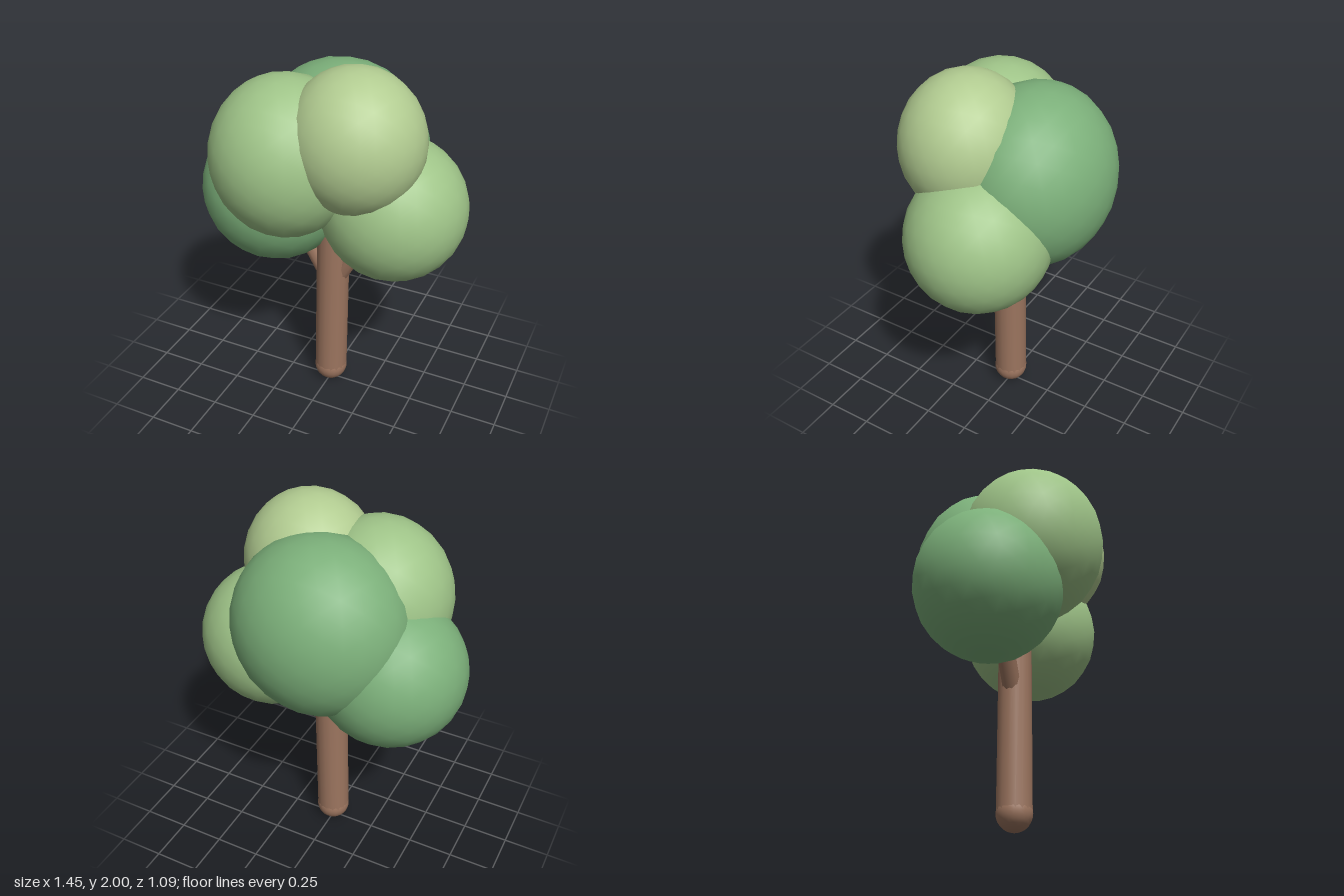
import * as THREE from 'three';

const UP = new THREE.Vector3(0, 1, 0);

export function createModel() {
  const tree = new THREE.Group();
  tree.name = 'tree';
  const material = (color) => new THREE.MeshStandardMaterial({ color });
  const bark = material(0x9c755f);
  const darkLeaf = material(0x7cb07a);
  const midLeaf = material(0x9fc488);
  const paleLeaf = material(0xb2cc91);

  function add(name, geometry, mat) {
    const mesh = new THREE.Mesh(geometry, mat);
    mesh.name = name;
    tree.add(mesh);
    return mesh;
  }

  // Straight round limb between two points
  function limb(name, from, to, r0, r1, sides) {
    const a = new THREE.Vector3(...from);
    const b = new THREE.Vector3(...to);
    const dir = b.clone().sub(a);
    const mesh = add(name, new THREE.CylinderGeometry(r1, r0, dir.length(), sides), bark);
    mesh.position.copy(a).add(b).multiplyScalar(0.5);
    mesh.quaternion.setFromUnitVectors(UP, dir.normalize());
  }

  // Stretched smooth ball of leaves
  function foliage(name, centre, radii, mat) {
    const mesh = add(name, new THREE.IcosahedronGeometry(1, 4), mat);
    mesh.position.set(...centre);
    mesh.scale.set(...radii);
  }

  // Trunk with a rounded foot, leaning very slightly
  limb('trunk', [0.002, 0.1, 0], [0.02, 1.25, 0], 0.091, 0.088, 16);
  add('trunkFoot', new THREE.SphereGeometry(0.093, 20, 14), bark).position.set(0.002, 0.095, 0);

  // Forking branches
  limb('rightBranch', [-0.01, 0.71, 0], [-0.25, 1.14, 0], 0.05, 0.05, 10);
  limb('leftBranch', [0.03, 0.71, 0], [0.27, 1.14, 0], 0.05, 0.05, 10);

  // Crown
  foliage('rightFoliage', [-0.33, 1.2, -0.02], [0.4, 0.4, 0.39], darkLeaf);
  foliage('leftFoliage', [0.34, 1.225, -0.025], [0.385, 0.385, 0.372], midLeaf);
  foliage('backFoliage', [0, 1.44, -0.14], [0.465, 0.475, 0.407], darkLeaf);
  foliage('frontFoliage', [-0.17, 1.495, 0.165], [0.39, 0.42, 0.38], midLeaf);
  foliage('topFoliage', [0.19, 1.63, 0.13], [0.35, 0.37, 0.335], paleLeaf);

  return tree;
}
